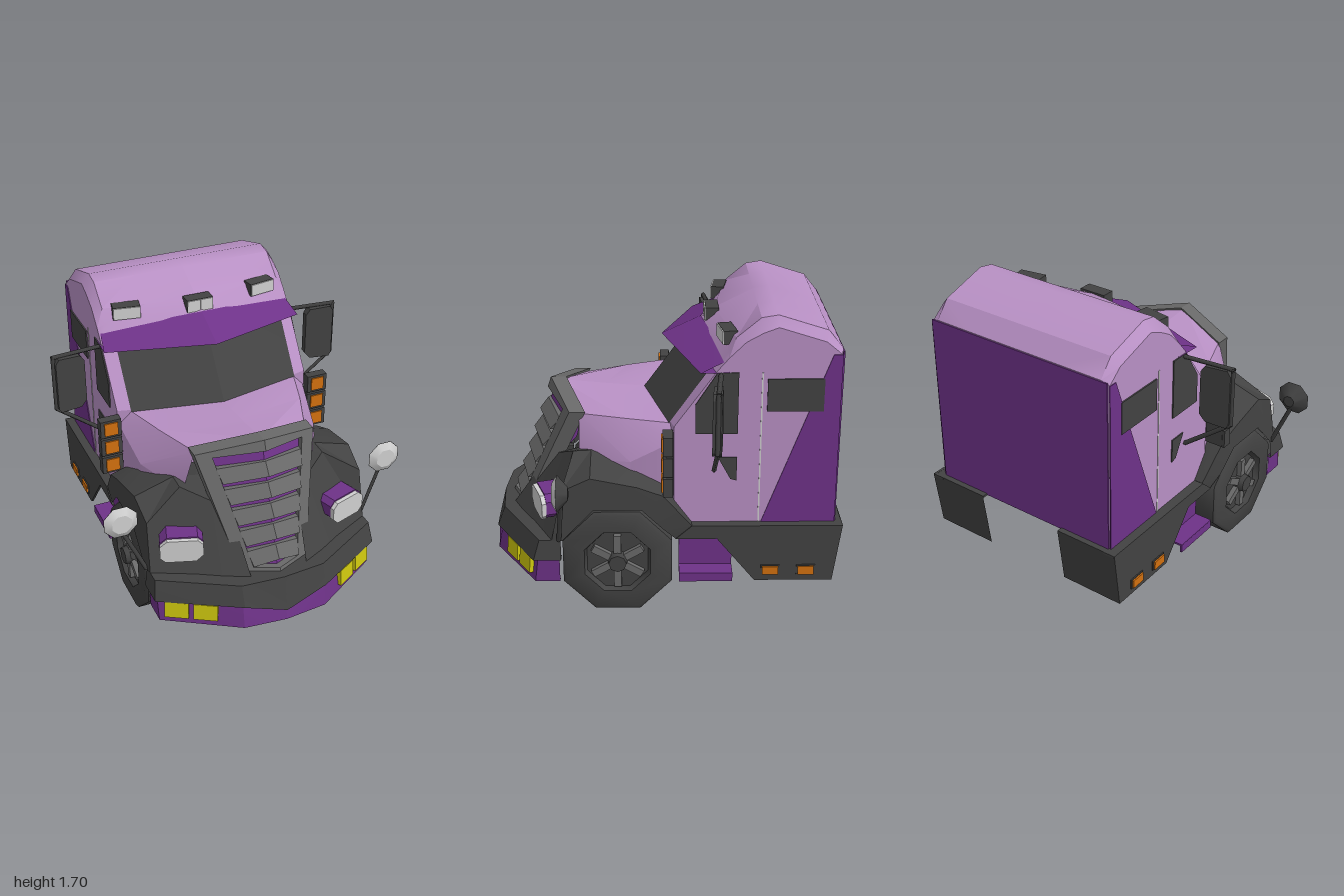
import * as THREE from 'three';
import { toCreasedNormals } from 'three/addons/utils/BufferGeometryUtils.js';

const mat = (name, color) => {
  const m = new THREE.MeshStandardMaterial({ color, side: THREE.DoubleSide });
  m.name = name;
  return m;
};

// Surface through rows of [x, y, z] points
function loft(rows, crease = 0.3) {
  const n = rows[0].length, index = [];
  for (let i = 0; i < rows.length - 1; i++)
    for (let j = 0; j < n - 1; j++) {
      const a = i * n + j, b = a + n;
      index.push(a, b, a + 1, b, b + 1, a + 1);
    }
  const g = new THREE.BufferGeometry();
  g.setAttribute('position', new THREE.Float32BufferAttribute(rows.flat(2), 3));
  g.setIndex(index);
  return toCreasedNormals(g, crease);
}

// Flat outline extruded along z
function prism(points, depth) {
  const shape = new THREE.Shape(points.map(p => new THREE.Vector2(p[0], p[1])));
  return new THREE.ExtrudeGeometry(shape, { depth, bevelEnabled: false });
}

// Outline in (z, y), with its outer face at x
const sidePanel = (points, x, depth) => prism(points, depth).rotateY(-Math.PI / 2).translate(x, 0, 0);

const box = (w, h, d, x, y, z) => new THREE.BoxGeometry(w, h, d).translate(x, y, z);

// Straight square bar between two points
function bar(a, b, r) {
  const path = new THREE.LineCurve3(new THREE.Vector3(...a), new THREE.Vector3(...b));
  return new THREE.TubeGeometry(path, 1, r, 4).toNonIndexed();
}

export function createModel() {
  const lilac = mat('lilac paint', 0xb890c4), purple = mat('purple paint', 0x6e3288);
  const dark = mat('dark trim', 0x424242), grey = mat('grey trim', 0x696969);
  const light = mat('pale lens', 0xcfcfcf), orange = mat('orange lens', 0xd2700f);
  const yellow = mat('yellow lens', 0xcfc80f);

  const model = new THREE.Group();
  model.name = 'truck';

  // Everything is made for the left half, then mirrored
  function buildHalf(side) {
    const half = new THREE.Group();
    half.name = side + 'Half';
    const add = (name, geo, material, parent = half) => {
      const m = new THREE.Mesh(geo, material);
      m.name = name;
      if (!geo.index && name !== 'cabShell') { /* normals come with the geometry */ }
      parent.add(m);
      return m;
    };

    // Cab shell: side profiles at several widths, front swept back
    const profile = x => {
      const v = 0.27 * x;
      return [[0.1 - v, 0.5], [0.1 - v, 1.09], [-0.13 - v, 1.41], [-0.2 - v, 1.5], [-0.3 - 0.6 * v, 1.58],
        [-0.52, 1.69], [-0.61, 1.705], [-0.88, 1.62], [-0.96, 1.52], [-0.96, 0.5]];
    };
    const edge = [[-0.06, 0.5], [-0.06, 1.09], [-0.29, 1.41], [-0.35, 1.48], [-0.44, 1.57],
      [-0.53, 1.62], [-0.61, 1.65], [-0.865, 1.57], [-0.95, 1.5], [-0.95, 0.5]];
    const at = (x, pts) => pts.map(([z, y]) => [x, y, z]);
    add('cabShell', loft([...[0, 0.3, 0.55].map(x => at(x, profile(x))), at(0.597, edge)], 0.5), lilac);
    add('cabSide', sidePanel(edge, 0.597, 0.004), lilac);
    add('backPanel', box(0.59, 1.01, 0.008, 0.295, 1.01, -0.961), purple);
    add('sideFlash', sidePanel([[-0.545, 0.51], [-0.958, 0.51], [-0.955, 1.5], [-0.905, 1.5]], 0.602, 0.006), purple);
    add('sleeperWindow', sidePanel([[-0.56, 1.18], [-0.865, 1.18], [-0.865, 1.365], [-0.56, 1.365]], 0.606, 0.008), dark);
    add('doorWindow', sidePanel([[-0.175, 1.05], [-0.405, 1.05], [-0.405, 1.4], [-0.29, 1.4], [-0.175, 1.22]], 0.604, 0.008), dark);
    add('ventWindow', sidePanel([[-0.3, 0.91], [-0.405, 0.91], [-0.405, 0.77], [-0.37, 0.78]], 0.604, 0.008), dark);
    add('doorSeam', sidePanel([[-0.528, 0.51], [-0.536, 0.51], [-0.536, 1.4], [-0.528, 1.4]], 0.6, 0.004), light);
    add('windshield', loft([
      [[0, 1.1, 0.102], [0.52, 1.08, -0.033]],
      [[0, 1.42, -0.128], [0.52, 1.41, -0.263]]]), dark);

    // Sun visor
    add('visor', loft([
      [[0, 1.47, -0.17], [0.6, 1.40, -0.355]],
      [[0, 1.425, 0], [0.61, 1.4, -0.2]],
      [[0, 1.53, -0.225], [0.585, 1.465, -0.345]],
      [[0, 1.49, -0.2], [0.6, 1.40, -0.355]]]), purple);

    // Roof lamps
    for (const [x, z, w, turn] of [[0.04, -0.285, 0.08, 0], [0.42, -0.35, 0.16, 0.17]]) {
      const lamp = new THREE.Group();
      lamp.name = 'roofLamp';
      lamp.position.set(x, 1.562, z);
      lamp.rotation.y = turn;
      add('lampHousing', box(w, 0.075, 0.075, 0, 0, 0), dark, lamp);
      add('lampLens', box(w - 0.004, 0.07, 0.008, 0, 0, 0.04), light, lamp);
      half.add(lamp);
    }

    // Hood, tapering to the grille
    add('hood', loft([
      [[0, 1.10, 0.09], [0.52, 1.08, -0.05], [0.59, 1.0, -0.06], [0.59, 0.5, -0.06]],
      [[0, 1.12, 0.33], [0.44, 1.075, 0.2], [0.55, 0.86, 0.18], [0.55, 0.55, 0.18]],
      [[0, 1.145, 0.6], [0.335, 1.065, 0.47], [0.41, 0.82, 0.47], [0.41, 0.5, 0.47]]]), lilac);

    // Grille pieces are sheared onto a sloping V-shaped face
    const onGrille = (geo, lift = () => 0) => {
      const p = geo.attributes.position;
      for (let i = 0; i < p.count; i++) {
        const x = p.getX(i), y = p.getY(i);
        p.setZ(i, p.getZ(i) + 0.65 + (1.15 - y) * 0.34 - x * 0.42 + lift(y));
      }
      geo.computeVertexNormals();
      return geo;
    };
    add('grilleFrame', onGrille(prism([[0, 1.16], [0.36, 1.08], [0.2, 0.43], [0, 0.43], [0, 0.46],
      [0.135, 0.46], [0.27, 1.065], [0, 1.1]], 0.09).translate(0, 0, -0.09)), grey);
    add('grilleBack', onGrille(prism([[0, 1.12], [0.29, 1.07], [0.15, 0.45], [0, 0.45]], 0.02)
      .translate(0, 0, -0.06)), purple);
    for (let i = 0; i < 5; i++) {
      const top = 1.0 - i * 0.114, low = top - 0.07;
      const w = y => 0.135 + (y - 0.46) * 0.223;
      add('grilleSlat', onGrille(prism([[0, top + 0.035], [w(top), top], [w(low), low], [0, low + 0.035]], 0.04)
        .translate(0, 0, -0.05), y => (top - y) * 0.4), grey);
    }

    // Front fender: from bumper, over the wheel, down to the rear skirt
    add('frontFender', loft([
      [[0.17, 0.44, 0.87], [0.3, 0.44, 0.81], [0.44, 0.44, 0.73], [0.67, 0.44, 0.62], [0.68, 0.44, 0.57]],
      [[0.2, 0.72, 0.68], [0.28, 0.8, 0.6], [0.44, 0.88, 0.5], [0.66, 0.735, 0.56], [0.68, 0.44, 0.56]],
      [[0.2, 0.8, 0.4], [0.3, 0.86, 0.4], [0.44, 0.885, 0.4], [0.67, 0.815, 0.4], [0.685, 0.63, 0.385]],
      [[0.2, 0.76, 0.14], [0.35, 0.79, 0.14], [0.5, 0.82, 0.14], [0.68, 0.765, 0.14], [0.685, 0.63, 0.12]],
      [[0.4, 0.7, 0], [0.5, 0.72, 0], [0.56, 0.745, 0], [0.675, 0.71, 0], [0.675, 0.507, 0]],
      [[0.5, 0.51, -0.16], [0.55, 0.51, -0.16], [0.59, 0.515, -0.16], [0.65, 0.515, -0.16], [0.65, 0.435, -0.07]]
    ]), dark);

    // Rear skirt and mud flap
    add('rearSkirt', sidePanel([[-0.07, 0.435], [-0.16, 0.515], [-1, 0.515], [-0.955, 0.17],
      [-0.515, 0.17], [-0.3, 0.435]], 0.655, 0.015), dark);
    add('skirtLedge', box(0.07, 0.012, 0.84, 0.615, 0.508, -0.58), dark);
    add('rearLedge', box(0.38, 0.012, 0.05, 0.46, 0.508, -0.973), dark);
    add('mudFlap', loft([
      [[0.27, 0.515, -1], [0.655, 0.515, -1]],
      [[0.27, 0.17, -0.955], [0.655, 0.17, -0.955]]]), dark);
    for (const z of [-0.603, -0.803]) {
      add('markerBase', box(0.012, 0.062, 0.105, 0.656, 0.238, z), dark);
      add('markerLamp', box(0.02, 0.05, 0.09, 0.661, 0.238, z), orange);
    }

    // Entry step
    add('stepPanel', box(0.015, 0.255, 0.3, 0.56, 0.303, -0.24), purple);
    add('stepTread', box(0.175, 0.012, 0.3, 0.587, 0.222, -0.24), purple);
    add('stepLip', box(0.012, 0.05, 0.3, 0.669, 0.2, -0.24), purple);

    // Bumper and lower valance
    add('bumper', loft([
      [[0, 0.44, 0.82], [0.25, 0.44, 0.8], [0.62, 0.44, 0.6], [0.62, 0.44, 0.57]],
      [[0, 0.44, 0.945], [0.25, 0.44, 0.925], [0.67, 0.44, 0.69], [0.67, 0.44, 0.57]],
      [[0, 0.24, 0.995], [0.25, 0.32, 0.97], [0.685, 0.32, 0.725], [0.685, 0.32, 0.57]],
      [[0, 0.24, 0.9], [0.25, 0.32, 0.88], [0.62, 0.32, 0.66], [0.62, 0.32, 0.57]]]), dark);
    add('valance', loft([
      [[0, 0.33, 0.955], [0.25, 0.33, 0.94], [0.665, 0.33, 0.7], [0.665, 0.33, 0.58]],
      [[0, 0.175, 0.995], [0.25, 0.175, 0.97], [0.66, 0.175, 0.72], [0.66, 0.175, 0.58]],
      [[0, 0.175, 0.95], [0.25, 0.175, 0.93], [0.63, 0.175, 0.7], [0.63, 0.175, 0.58]]]), purple);
    for (const [x, z] of [[0.435, 0.855], [0.575, 0.772]]) {
      const fog = add('fogLamp', box(0.135, 0.1, 0.03, 0, 0, 0), yellow);
      fog.position.set(x, 0.267, z);
      fog.rotation.set(-0.08, 0.53, 0, 'YXZ');
    }

    // Headlight
    const lens = [[-0.12, -0.03], [-0.08, -0.07], [0.09, -0.07], [0.12, -0.04], [0.12, 0.035],
      [0.08, 0.07], [-0.09, 0.07], [-0.12, 0.04]];
    const headlight = new THREE.Group();
    headlight.name = 'headlight';
    headlight.position.set(0.5, 0.603, 0.665);
    headlight.rotation.y = 0.32;
    add('headlightHousing', prism(lens, 0.12).translate(0, 0.008, -0.1), purple, headlight);
    add('headlightLens', prism(lens, 0.025).translate(0, 0, 0.02), light, headlight);
    half.add(headlight);

    // Front wheel, eight-sided with six spokes
    const wheel = new THREE.Group();
    wheel.name = 'frontWheel';
    wheel.position.set(0.57, 0.305, 0.255);
    const tire = [[0.02, -0.08], [0.19, -0.08], [0.2, -0.11], [0.33, -0.11], [0.33, 0.095], [0.31, 0.11],
      [0.2, 0.11], [0.185, 0.075], [0.01, 0.075]].map(p => new THREE.Vector2(...p));
    add('tire', toCreasedNormals(new THREE.LatheGeometry(tire, 8, Math.PI / 8), 0.8).rotateZ(-Math.PI / 2), dark, wheel);
    for (let i = 0; i < 6; i++)
      add('spoke', box(0.03, 0.11, 0.042, 0.09, 0.105, 0).rotateX(i * Math.PI / 3), grey, wheel);
    add('hub', new THREE.CylinderGeometry(0.05, 0.06, 0.07, 8).rotateZ(-Math.PI / 2).translate(0.1, 0, 0), dark, wheel);
    half.add(wheel);
    add('axle', box(0.5, 0.06, 0.06, 0.25, 0.305, 0.255), dark);

    // Stacked side lamps
    for (const y of [1.02, 0.9, 0.78]) {
      add('sideLampBox', box(0.125, 0.108, 0.055, 0.657, y, -0.025), dark);
      add('sideLampLens', box(0.08, 0.08, 0.009, 0.657, y, 0.006), orange);
    }
    add('sideLampMount', box(0.11, 0.34, 0.04, 0.65, 0.9, -0.035), dark);

    // Door mirror and its frame
    const body = [[0.71, 1.08], [0.745, 1.04], [0.87, 1.035], [0.885, 1.06], [0.885, 1.35],
      [0.865, 1.38], [0.735, 1.375], [0.71, 1.34]];
    const mirror = add('doorMirror', prism(body, 0.05).translate(-0.8, 0, -0.025), dark);
    mirror.position.set(0.8, 0, -0.285);
    mirror.rotation.y = -0.1;
    add('mirrorTopBar', bar([0.59, 1.388, -0.31], [0.9, 1.388, -0.28], 0.014), dark);
    add('mirrorOuterBar', bar([0.89, 1.395, -0.28], [0.89, 1.05, -0.28], 0.013), dark);
    add('mirrorBrace', bar([0.892, 1.055, -0.28], [0.6, 0.83, -0.28], 0.013), dark);

    // Fender mirror on a stalk
    add('fenderMirrorStalk', bar([0.81, 0.74, 0.55], [0.675, 0.44, 0.58], 0.013), dark);
    add('fenderMirrorShell', new THREE.CylinderGeometry(0.103, 0.035, 0.06, 8, 1, false, Math.PI / 8)
      .toNonIndexed().rotateX(Math.PI / 2).translate(0.81, 0.795, 0.54), dark);
    add('fenderMirrorGlass', new THREE.CylinderGeometry(0.06, 0.1, 0.025, 8, 1, false, Math.PI / 8)
      .rotateX(Math.PI / 2).translate(0.81, 0.795, 0.583), light);
    return half;
  }

  const right = buildHalf('right');
  right.scale.x = -1;
  model.add(buildHalf('left'), right);
  return model;
}
